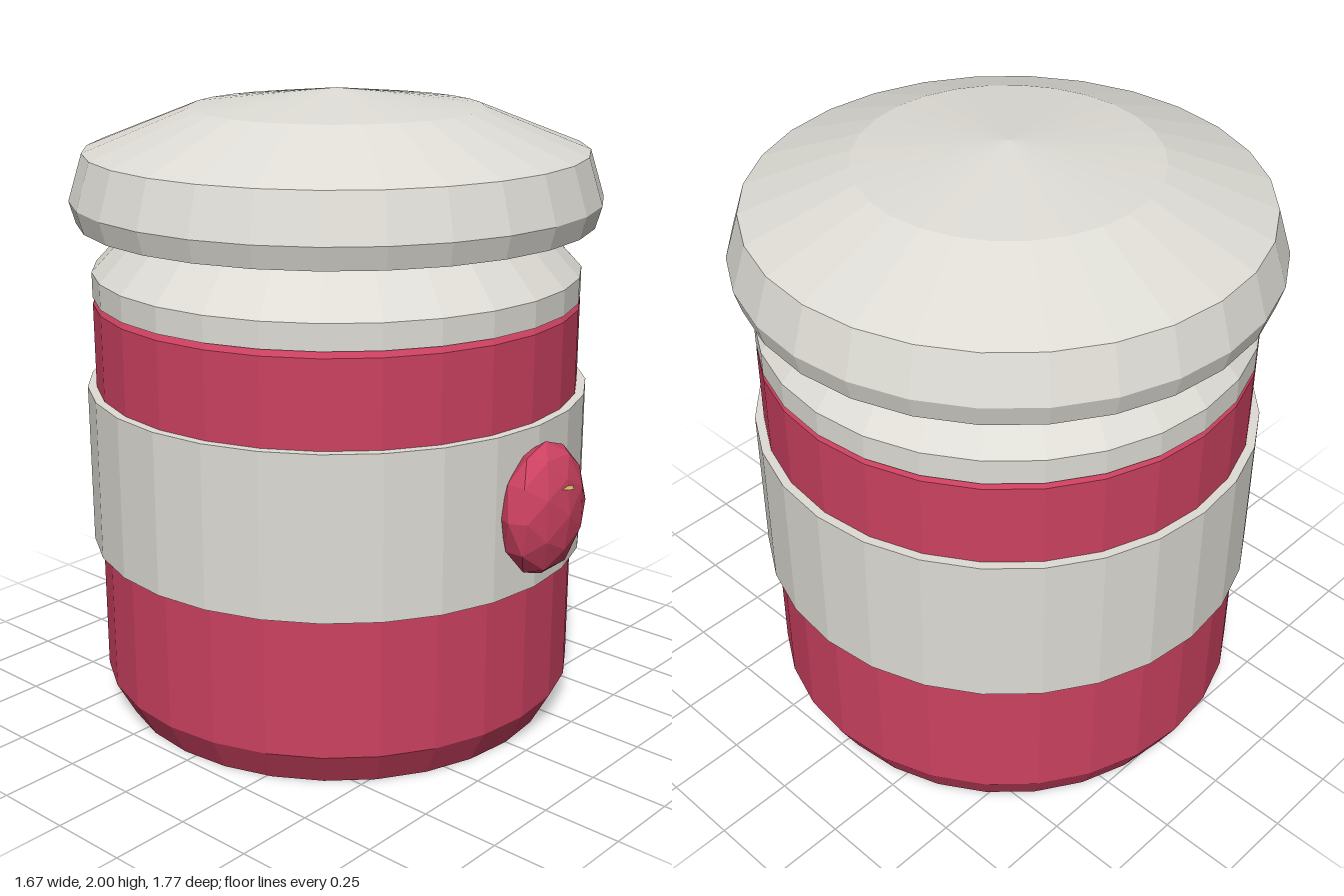
import * as THREE from 'three';

const SIDES = 28;
const AXIS_Z = -0.045;

function flat(name, color) {
  const m = new THREE.MeshStandardMaterial({ color, flatShading: true });
  m.name = name;
  return m;
}

export function createModel() {
  const red = flat('red', 0xcb4160);
  const grey = flat('warmGrey', 0xdedcd5);
  const gold = flat('gold', 0xc9ad62);
  const group = new THREE.Group();
  group.name = 'jar';

  const add = (name, geometry, material, x, y, z) => {
    const mesh = new THREE.Mesh(geometry, material);
    mesh.name = name;
    mesh.position.set(x, y, z);
    group.add(mesh);
    return mesh;
  };
  // Turned part from [radius, height] pairs, listed bottom to top
  const turned = (name, material, profile) =>
    add(name, new THREE.LatheGeometry(profile.map(([r, y]) => new THREE.Vector2(r, y)), SIDES),
      material, 0, 0, AXIS_Z);

  // Jar
  turned('body', red, [[0, 0], [0.715, 0], [0.775, 0.11], [0.775, 1.345], [0.76, 1.366], [0, 1.366]]);
  turned('labelBand', grey, [[0.77, 0.56], [0.803, 0.56], [0.803, 1.075], [0.77, 1.075]]);
  turned('shoulder', grey, [[0.755, 1.365], [0.775, 1.365], [0.775, 1.445], [0.61, 1.62], [0.57, 1.62]]);
  turned('neck', gold, [[0.6, 1.6], [0.6, 1.67]]);

  // Lid with a lining set into its underside
  turned('lidLining', red, [[0, 1.64], [0.74, 1.64]]);
  turned('lid', grey, [[0.73, 1.66], [0.73, 1.6], [0.815, 1.6], [0.835, 1.67], [0.79, 1.815], [0.46, 1.945], [0, 2]]);

  // Faceted badge on the front with a tiny glint
  add('badge', new THREE.IcosahedronGeometry(1, 1), red, 0, 0.82, 0.78).scale.set(0.175, 0.21, 0.097);
  add('badgeGlint', new THREE.OctahedronGeometry(1), gold, 0, 0.905, 0.848).scale.set(0.045, 0.01, 0.04);

  return group;
}
